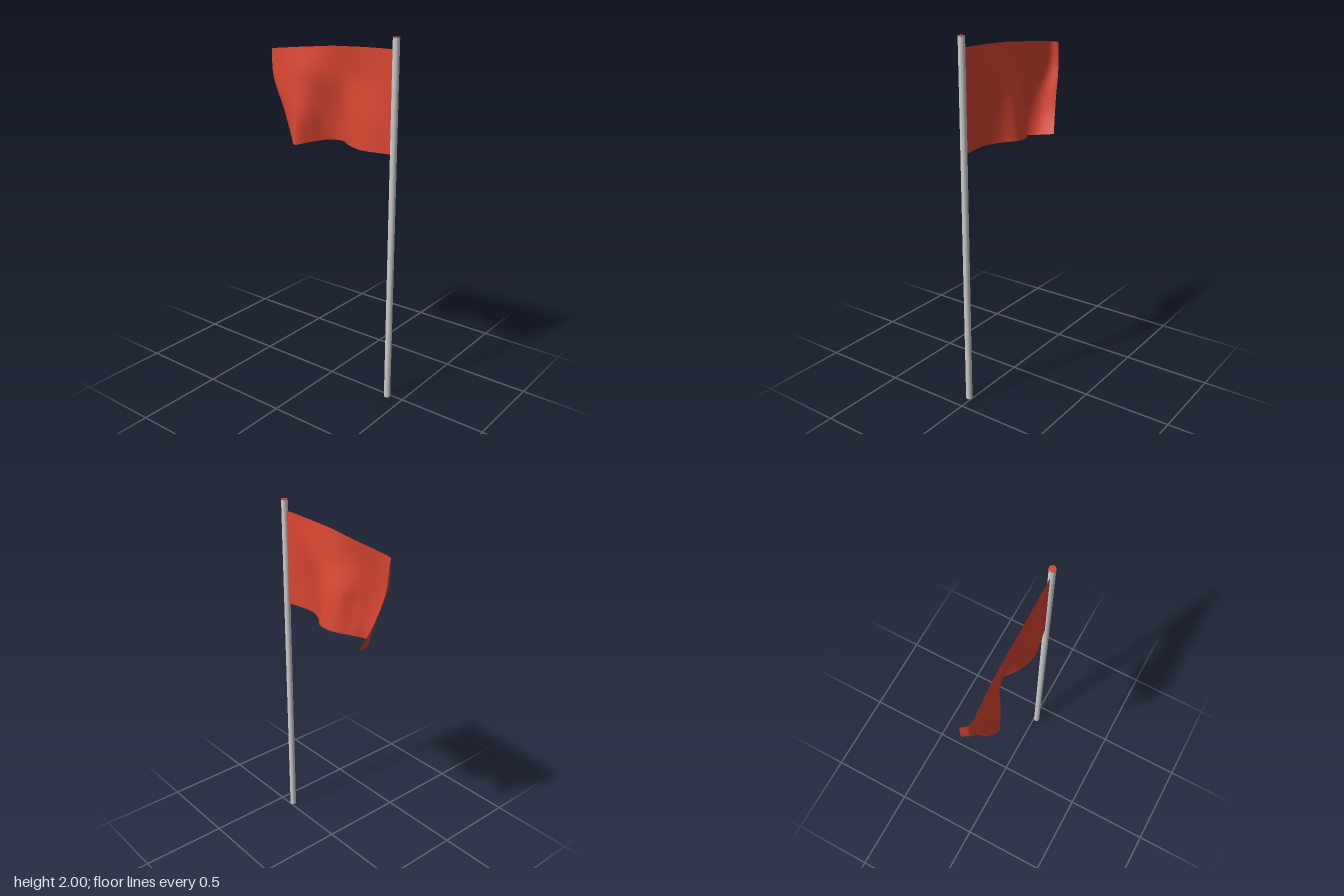
import * as THREE from 'three';

const POLE_X = -0.018, POLE_Z = 0.41, POLE_R = 0.018;

// Cloth cross-sections from the top hem to the bottom hem, pole to free edge: [x, y, z]
const ROWS = [
  [[-0.018, 1.94, 0.395], [-0.02, 1.938, 0.25], [-0.022, 1.933, 0.12], [-0.022, 1.928, 0.02], [-0.023, 1.918, -0.08],
    [-0.025, 1.908, -0.18], [-0.032, 1.895, -0.3], [-0.03, 1.885, -0.39], [0.003, 1.88, -0.42]],
  [[-0.018, 1.77, 0.395], [-0.016, 1.77, 0.25], [-0.004, 1.77, 0.13], [-0.006, 1.77, 0.03], [-0.03, 1.765, -0.09],
    [-0.048, 1.755, -0.19], [-0.05, 1.745, -0.3], [-0.03, 1.735, -0.385], [0.013, 1.73, -0.41]],
  [[-0.018, 1.59, 0.395], [-0.032, 1.59, 0.24], [-0.008, 1.59, 0.13], [0.03, 1.59, 0.03], [0.008, 1.588, -0.07],
    [-0.046, 1.575, -0.14], [-0.068, 1.565, -0.21], [-0.042, 1.56, -0.3], [0.032, 1.555, -0.358]],
  [[-0.018, 1.41, 0.395], [-0.041, 1.41, 0.22], [-0.005, 1.413, 0.12], [0.05, 1.413, 0.035], [0.045, 1.41, -0.05],
    [-0.02, 1.395, -0.135], [-0.07, 1.38, -0.195], [-0.035, 1.375, -0.248], [0.068, 1.387, -0.288]],
];

// Smooth sheet lofted through the cross-sections
function clothGeometry(nu, nv) {
  const rows = ROWS.map(r => new THREE.CatmullRomCurve3(r.map(p => new THREE.Vector3(...p))));
  const geometry = new THREE.PlaneGeometry(1, 1, nu, nv);
  const pos = geometry.attributes.position;
  for (let i = 0; i <= nu; i++) {
    const column = new THREE.CatmullRomCurve3(rows.map(c => c.getPoint(i / nu)));
    for (let j = 0; j <= nv; j++) {
      const p = column.getPoint(j / nv);
      pos.setXYZ(j * (nu + 1) + i, p.x, p.y, p.z);
    }
  }
  geometry.computeVertexNormals();
  return geometry;
}

export function createModel() {
  const group = new THREE.Group();
  const grey = new THREE.MeshStandardMaterial({ color: 0xcccccc });
  const red = new THREE.MeshStandardMaterial({ color: 0xd94632 });
  const cloth = new THREE.MeshStandardMaterial({ color: 0xd94632, side: THREE.DoubleSide });

  const add = (name, geometry, material) => {
    const mesh = new THREE.Mesh(geometry, material);
    mesh.name = name;
    group.add(mesh);
    return mesh;
  };
  const poleSection = (name, y0, y1, r, material) =>
    add(name, new THREE.CylinderGeometry(r, r, y1 - y0, 24), material).position.set(POLE_X, (y0 + y1) / 2, POLE_Z);

  // Pole with a short top collar and a coloured cap disc
  poleSection('pole', 0, 1.95, POLE_R, grey);
  poleSection('poleCollar', 1.95, 1.997, POLE_R, grey);
  poleSection('poleCap', 1.997, 2, POLE_R, red);

  // Waving flag
  add('flag', clothGeometry(64, 32), cloth);
  return group;
}
